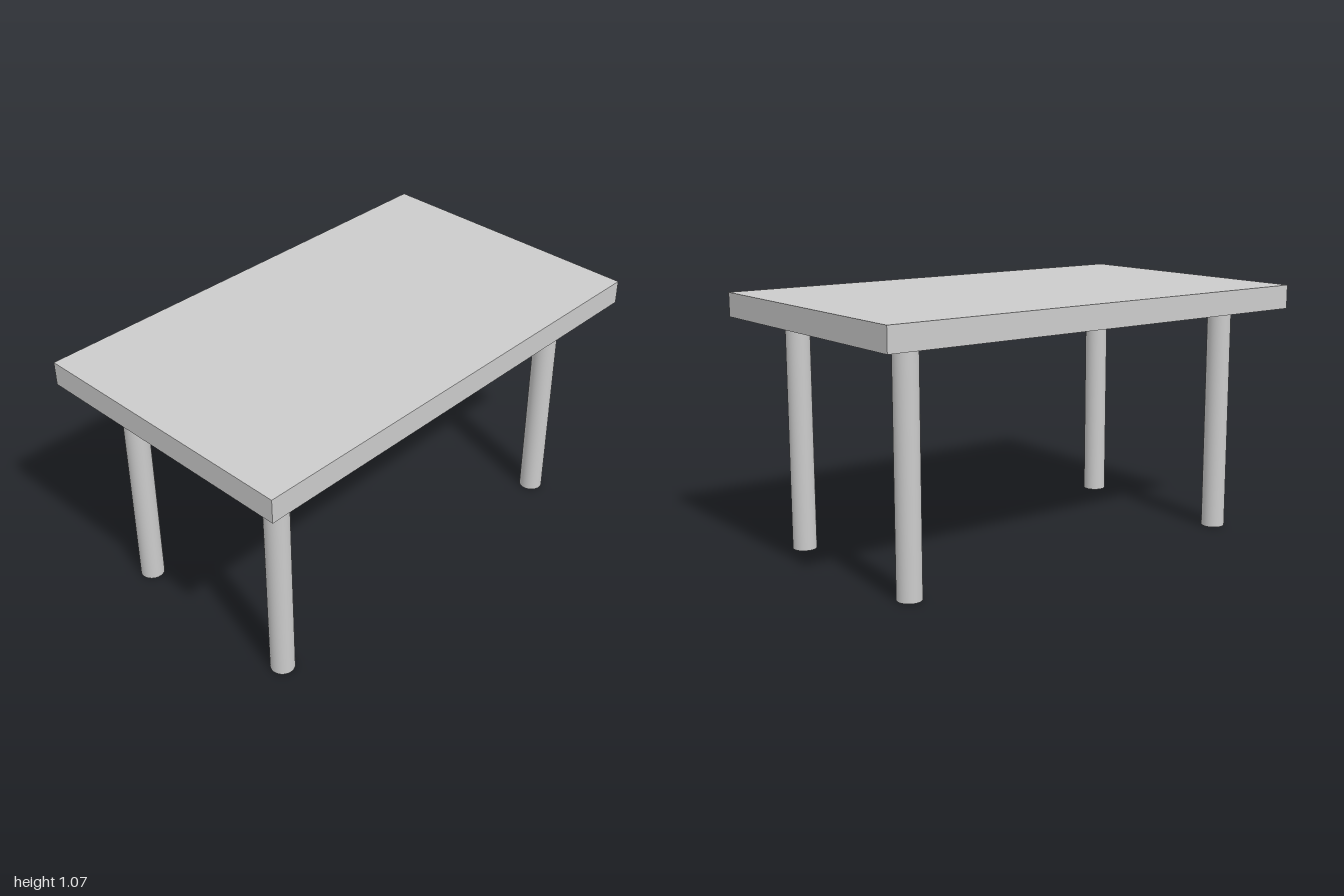
import * as THREE from 'three';

export function createModel() {
  const table = new THREE.Group();
  table.name = 'table';
  const material = new THREE.MeshStandardMaterial({ color: 0xcccccc });

  const legHeight = 0.967;
  const topThickness = 0.1;

  // Flat rectangular top
  const top = new THREE.Mesh(new THREE.BoxGeometry(2, topThickness, 1.2), material);
  top.name = 'tableTop';
  top.position.y = legHeight + topThickness / 2;
  table.add(top);

  // Four round legs, mirrored in x and z
  const legGeometry = new THREE.CylinderGeometry(0.05, 0.05, legHeight, 32);
  for (const [zName, z] of [['front', 0.4], ['back', -0.4]]) {
    for (const [xName, x] of [['Left', 0.8], ['Right', -0.8]]) {
      const leg = new THREE.Mesh(legGeometry, material);
      leg.name = `${zName}${xName}Leg`;
      leg.position.set(x, legHeight / 2, z);
      table.add(leg);
    }
  }

  return table;
}
